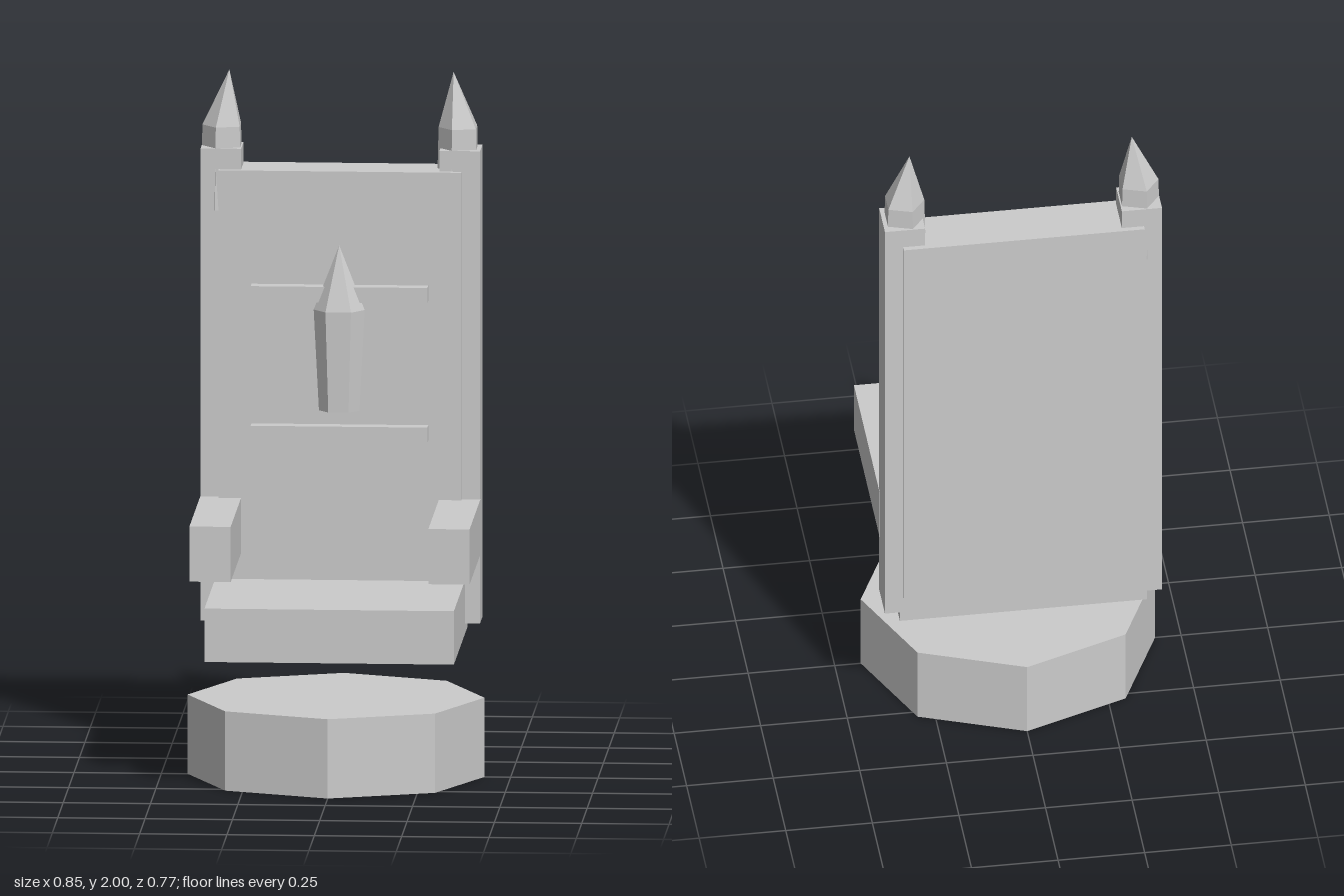
import * as THREE from 'three';

export function createModel() {
  const model = new THREE.Group();
  model.name = 'throne';
  const stone = new THREE.MeshStandardMaterial({ color: 0xcccccc, flatShading: true });
  stone.name = 'pale stone';

  const add = (name, geometry, parent = model) => {
    const mesh = new THREE.Mesh(geometry, stone);
    mesh.name = name;
    parent.add(mesh);
    return mesh;
  };

  // Box given by its limits on each axis
  const block = (name, x0, x1, y0, y1, z0, z1) =>
    add(name, new THREE.BoxGeometry(x1 - x0, y1 - y0, z1 - z0))
      .position.set((x0 + x1) / 2, (y0 + y1) / 2, (z0 + z1) / 2);

  // Faceted shaft with a pointed tip; the tip may lean along x
  const spike = (name, { sides, start, x, z, y0, y1, y2, rBottom, rTop, squash, lean = 0 }) => {
    const group = new THREE.Group();
    group.name = name;
    const shaft = new THREE.CylinderGeometry(rTop, rBottom, y1 - y0, sides, 1, false, start);
    shaft.translate(0, (y0 + y1) / 2, 0);
    const tip = new THREE.ConeGeometry(rTop, y2 - y1, sides, 1, true, start);
    tip.translate(0, (y1 + y2) / 2, 0);
    const p = tip.attributes.position;
    for (let i = 0; i < p.count; i++) {
      p.setX(i, p.getX(i) + lean * (p.getY(i) - y1) / (y2 - y1));
    }
    for (const [part, g] of [['Shaft', shaft], ['Tip', tip]]) {
      g.scale(1, 1, squash);
      g.translate(x, 0, z);
      add(name + part, g, group);
    }
    model.add(group);
  };

  // Eight-sided pedestal, slightly shallower than wide
  const pedestal = new THREE.CylinderGeometry(0.425, 0.425, 0.23, 8);
  pedestal.scale(1, 1, 0.385 / 0.425);
  pedestal.translate(0, 0.115, 0);
  add('pedestal', pedestal);

  // Seat and backrest
  block('seat', -0.357, 0.357, 0.38, 0.535, -0.312, 0.315);
  block('backrest', -0.348, 0.348, 0.465, 1.72, -0.326, -0.18);

  // Posts, armrests and finials on both sides
  for (const s of [-1, 1]) {
    const side = s > 0 ? 'left' : 'right';
    const span = (a, b) => (s > 0 ? [a, b] : [-b, -a]);
    block(side + 'Post', ...span(0.284, 0.4), 0.41, 1.78, -0.311, -0.197);
    block(side + 'Armrest', ...span(0.283, 0.401), 0.61, 0.77, -0.21, 0.3);
    spike(side + 'Finial', {
      sides: 5, start: -Math.PI / 2, x: s * 0.338, z: -0.253,
      y0: 1.6, y1: 1.84, y2: 2, rBottom: 0.066, rTop: 0.06, squash: 0.94, lean: -s * 0.017,
    });
  }

  // Crossbars and the crystal on the backrest
  block('lowerCrossbar', -0.253, 0.253, 0.943, 0.987, -0.19, -0.139);
  block('upperCrossbar', -0.253, 0.253, 1.347, 1.392, -0.19, -0.139);
  spike('crystal', {
    sides: 6, start: Math.PI / 2, x: 0, z: -0.146,
    y0: 1.033, y1: 1.325, y2: 1.512, rBottom: 0.058, rTop: 0.073, squash: 0.73,
  });

  return model;
}
